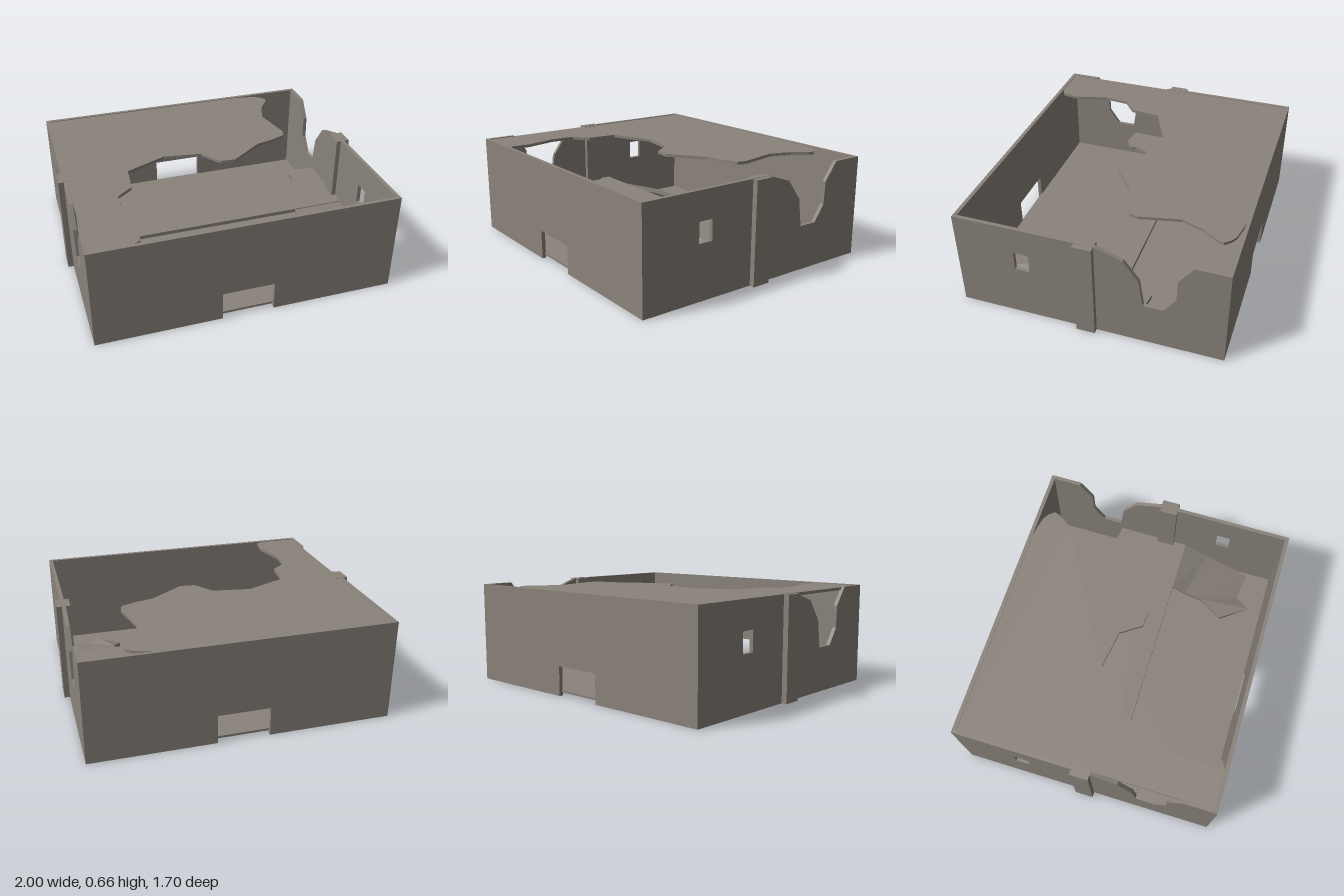
import * as THREE from 'three';

const stone = new THREE.MeshStandardMaterial({ color: 0x8a837b });
stone.name = 'weathered stone';

const toShape = (pts) => new THREE.Shape(pts.map(([x, y]) => new THREE.Vector2(x, y)));
const extrude = (shape, depth) => new THREE.ExtrudeGeometry(shape, { depth, bevelEnabled: false });

function addMesh(parent, name, geometry) {
  const mesh = new THREE.Mesh(geometry, stone);
  mesh.name = name;
  parent.add(mesh);
  return mesh;
}

function addBox(parent, name, [x0, x1], [y0, y1], [z0, z1]) {
  const box = addMesh(parent, name, new THREE.BoxGeometry(x1 - x0, y1 - y0, z1 - z0));
  box.position.set((x0 + x1) / 2, (y0 + y1) / 2, (z0 + z1) / 2);
}

// Horizontal slab from an outline of [x, z] points
function addSlab(parent, name, outline, y0, y1) {
  const geo = extrude(toShape(outline.map(([x, z]) => [x, -z])), y1 - y0);
  geo.rotateX(-Math.PI / 2).translate(0, y0, 0);
  addMesh(parent, name, geo);
}

// Tilted broken plate: faces seen from above, closed by sides and an underside
function brokenPlate(points, faces, outline, thickness) {
  const n = points.length;
  const all = [...points, ...points.map(([x, y, z]) => [x, y - thickness, z])];
  const quads = [];
  for (const f of faces) {
    quads.push(f, [...f].reverse().map((i) => i + n));
  }
  outline.forEach((a, i) => {
    const b = outline[(i + 1) % outline.length];
    quads.push([a, a + n, b + n, b]);
  });
  const pos = [];
  for (const [a, b, c, d] of quads) {
    for (const i of [a, b, c, a, c, d]) pos.push(...all[i]);
  }
  const geo = new THREE.BufferGeometry();
  geo.setAttribute('position', new THREE.Float32BufferAttribute(pos, 3));
  geo.computeVertexNormals();
  return geo;
}

// One half of the walls; the other half is the same turned by 180 degrees
function buildHalf(name) {
  const half = new THREE.Group();
  half.name = name;

  // Long wall with a doorway
  const front = extrude(toShape([
    [-0.965, 0], [-0.17, 0], [-0.17, 0.19], [0.165, 0.19], [0.165, 0],
    [0.965, 0], [0.965, 0.66], [-0.965, 0.66],
  ]), 0.025);
  front.translate(0, 0, 0.825);
  addMesh(half, 'doorWall', front);

  // Side wall with a window and a collapsed section
  const side = toShape([
    [-0.825, 0], [0.825, 0], [0.825, 0.66], [0.64, 0.66], [0.55, 0.54], [0.545, 0.395],
    [0.47, 0.29], [0.345, 0.29], [0.32, 0.47], [0.225, 0.6], [0.05, 0.66], [-0.825, 0.66],
  ]);
  side.holes.push(new THREE.Path([
    [-0.465, 0.35], [-0.465, 0.48], [-0.37, 0.48], [-0.37, 0.35],
  ].map(([x, y]) => new THREE.Vector2(x, y))));
  const sideGeo = extrude(side, 0.025);
  sideGeo.rotateY(Math.PI / 2).translate(0.94, 0, 0);
  addMesh(half, 'brokenSideWall', sideGeo);

  addBox(half, 'pilaster', [0.91, 1], [0, 0.658], [-0.05, 0.07]);

  // Collapsed piece of the upper floor, leaning down to the ground
  const points = [
    [0.59, 0.22, 0.16], [0.94, 0.22, 0.16], [0.94, 0.14, 0.33], [0.59, 0.17, 0.25],
    [0.59, 0.13, 0.38], [0.94, 0.12, 0.39], [0.92, 0.036, 0.655], [0.72, 0.04, 0.63],
    [0.52, 0.06, 0.55], [0.66, 0.04, 0.73],
  ];
  const faces = [[0, 3, 2, 1], [3, 4, 5, 2], [4, 7, 6, 5], [4, 8, 9, 7]];
  addMesh(half, 'collapsedFloor',
    brokenPlate(points, faces, [0, 3, 4, 8, 9, 7, 6, 5, 2, 1], 0.03));
  return half;
}

export function createModel() {
  const model = new THREE.Group();
  model.name = 'ruinedBuilding';

  const frontHalf = buildHalf('frontHalf');
  const backHalf = buildHalf('backHalf');
  backHalf.rotation.y = Math.PI;
  model.add(frontHalf, backHalf);

  addBox(model, 'groundFloor', [-0.945, 0.945], [0.02, 0.035], [-0.83, 0.83]);

  // Remaining strip of the upper floor with torn corners
  const torn = [
    [0.945, 0.16], [0.945, -0.33], [0.8, -0.35], [0.73, -0.3], [0.74, -0.26], [0.7, -0.16],
  ];
  addSlab(model, 'upperFloor', [...torn, ...torn.map(([x, z]) => [-x, -z])], 0.2, 0.225);

  // Remaining roof with a jagged edge
  addSlab(model, 'brokenRoof', [
    [-0.945, -0.83], [0.4, -0.83], [0.52, -0.82], [0.62, -0.8], [0.66, -0.775], [0.69, -0.74],
    [0.68, -0.7], [0.61, -0.6], [0.56, -0.46], [0.615, -0.2], [0.6, -0.14], [0.5, -0.1],
    [0.38, -0.07], [0.16, 0.09], [0.06, 0.08], [-0.03, -0.05], [-0.28, -0.09], [-0.55, 0.03],
    [-0.57, 0.23], [-0.67, 0.31], [-0.685, 0.47], [-0.63, 0.68], [-0.645, 0.8], [-0.7, 0.83],
    [-0.945, 0.83],
  ], 0.637, 0.656);

  return model;
}
